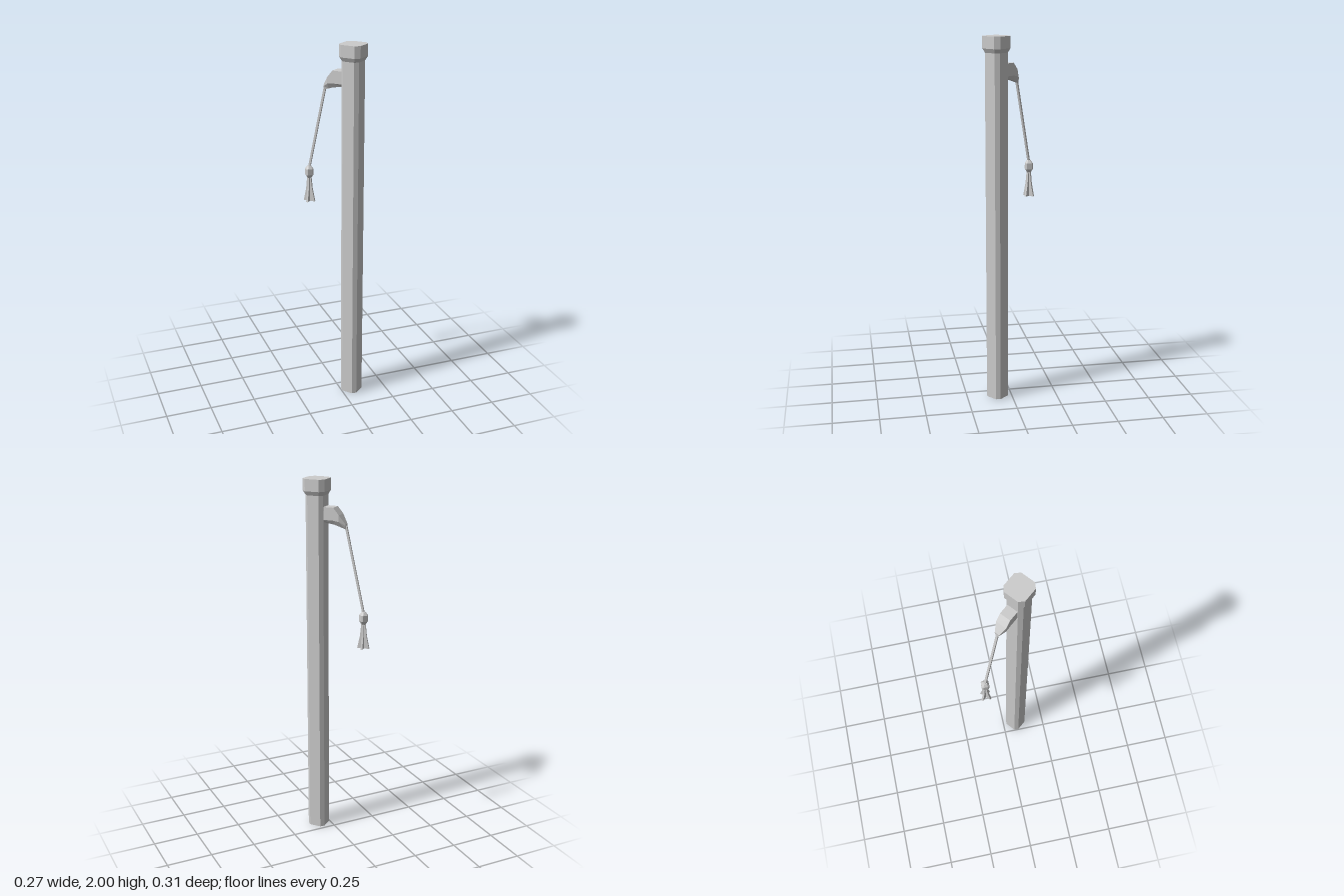
import * as THREE from 'three';

const stone = new THREE.MeshStandardMaterial({ color: 0xcccccc, flatShading: true });
stone.name = 'lightGrey';

// Skin a list of rings; each ring runs counter-clockwise seen from the last ring's end.
function loft(name, rings) {
  const pos = [];
  const tri = (...pts) => pts.forEach((p) => pos.push(...p));
  const n = rings[0].length;
  const centre = (r) => [0, 1, 2].map((k) => r.reduce((s, p) => s + p[k], 0) / n);
  const first = rings[0], last = rings[rings.length - 1];
  const c0 = centre(first), c1 = centre(last);
  for (let i = 0; i < n; i++) {
    const j = (i + 1) % n;
    for (let k = 0; k + 1 < rings.length; k++) {
      const a = rings[k], b = rings[k + 1];
      tri(a[i], a[j], b[j]);
      tri(a[i], b[j], b[i]);
    }
    tri(c0, first[j], first[i]);
    tri(c1, last[i], last[j]);
  }
  const g = new THREE.BufferGeometry();
  g.setAttribute('position', new THREE.Float32BufferAttribute(pos, 3));
  g.computeVertexNormals();
  const mesh = new THREE.Mesh(g, stone);
  mesh.name = name;
  return mesh;
}

// Square with cut corners: h = half width, c = where the cut starts
function octagon(y, h, c) {
  return [[h, c], [c, h], [-c, h], [-h, c], [-h, -c], [-c, -h], [c, -h], [h, -c]]
    .map(([x, z]) => [x, y, -z]);
}

// Four thin diagonal fins around a core: r = reach, t = half thickness
function finRing(y, r, t) {
  const ring = [];
  for (let i = 0; i < 4; i++) {
    const a = Math.PI / 4 + i * Math.PI / 2;
    for (const [u, v] of [[r, -t], [r, t], [t, t]]) {
      ring.push([u * Math.cos(a) - v * Math.sin(a), y, -(u * Math.sin(a) + v * Math.cos(a))]);
    }
  }
  return ring;
}

export function createModel() {
  const model = new THREE.Group();
  model.name = 'postWithPullCord';

  // Post and bracket, turned so the bracket points to the back right
  const post = new THREE.Group();
  post.name = 'post';
  post.position.set(0.0615, 0, 0.0785);
  post.rotation.y = THREE.MathUtils.degToRad(220);
  model.add(post);

  post.add(loft('shaft', [octagon(0, 0.0505, 0.032), octagon(1.93, 0.0505, 0.032)]));
  post.add(loft('cap', [
    octagon(1.915, 0.0505, 0.032), octagon(1.937, 0.0625, 0.0395), octagon(2, 0.0625, 0.0395),
  ]));

  // Bracket sections: distance, half width, top, side bottom, underside, underside half width
  const sections = [
    [0.045, 0.03, 1.857, 1.79, 1.775, 0.016],
    [0.106, 0.03, 1.857, 1.79, 1.767, 0.016],
    [0.137, 0.03, 1.82, 1.785, 1.757, 0.014],
    [0.168, 0.0135, 1.772, 1.765, 1.745, 0.008],
  ];
  post.add(loft('bracket', sections.map(([z, w, top, mid, bot, b]) => [
    [w, top, z], [-w, top, z], [-w, mid, z], [-b, bot, z], [b, bot, z], [w, mid, z],
  ])));

  // Cord
  const path = new THREE.LineCurve3(
    new THREE.Vector3(-0.045, 1.765, -0.047), new THREE.Vector3(-0.11, 1.3, -0.13));
  const cord = new THREE.Mesh(new THREE.TubeGeometry(path, 1, 0.008, 4, false), stone);
  cord.name = 'cord';
  model.add(cord);

  // Knot and flared tassel
  const tassel = new THREE.Group();
  tassel.name = 'tassel';
  tassel.position.set(-0.11, 0, -0.13);
  tassel.add(loft('knot', [
    octagon(1.242, 0.009, 0.006), octagon(1.262, 0.02, 0.013),
    octagon(1.295, 0.02, 0.013), octagon(1.312, 0.009, 0.006),
  ]));
  tassel.add(loft('tasselFringe', [
    finRing(1.11, 0.033, 0.005), finRing(1.18, 0.018, 0.005), finRing(1.25, 0.011, 0.005),
  ]));
  model.add(tassel);

  return model;
}
